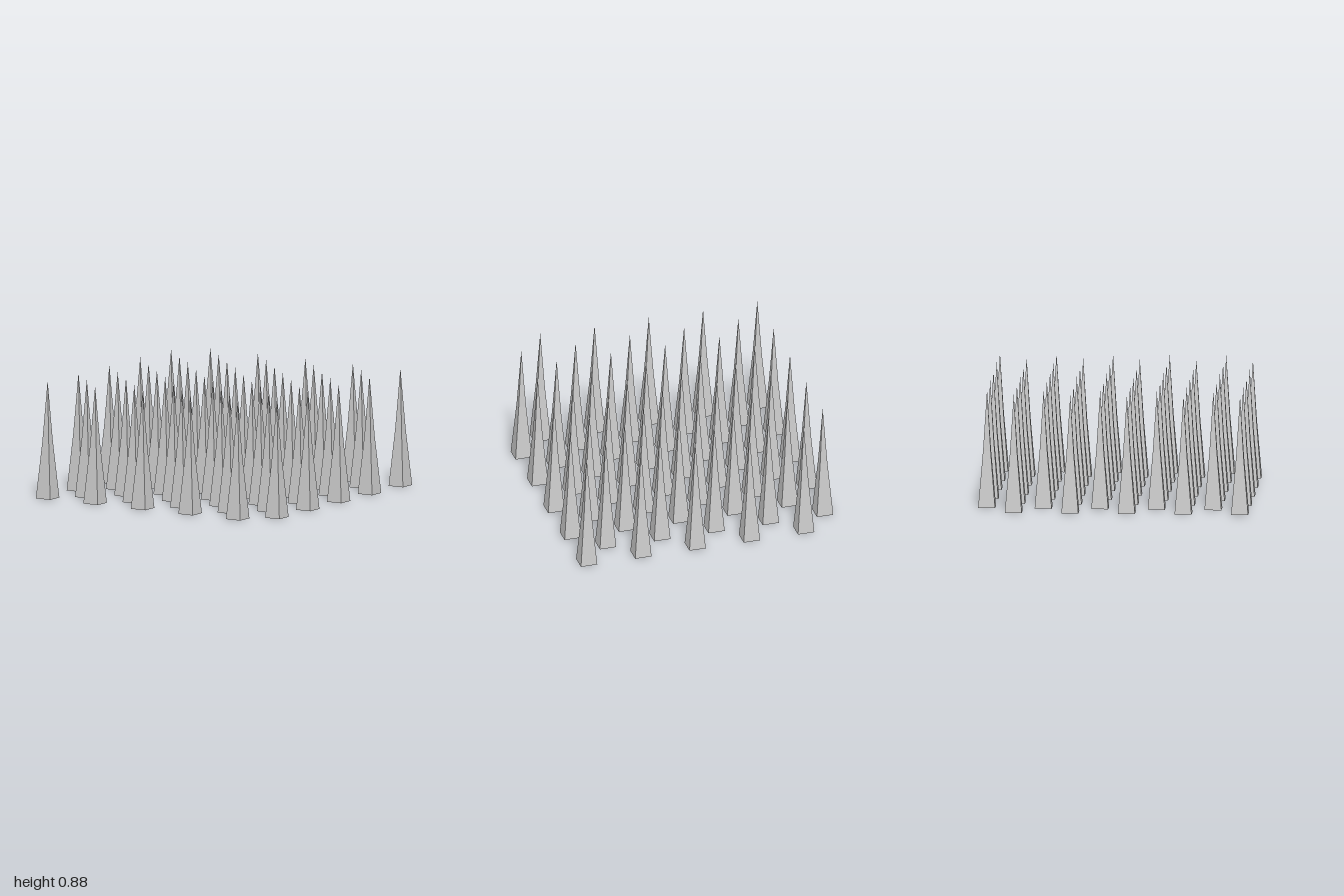
import * as THREE from 'three';

export function createModel() {
  const group = new THREE.Group();
  group.name = 'spikeField';
  const material = new THREE.MeshStandardMaterial({
    color: 0xcccccc, flatShading: true, side: THREE.DoubleSide,
  });

  // Square spike, open underneath, bending slightly inward halfway up
  const profile = [[0.0625, 0], [0.028, 0.42], [0, 0.875]]
    .map(([half, y]) => new THREE.Vector2(half * Math.SQRT2, y));
  const spikeGeometry = new THREE.LatheGeometry(profile, 4, Math.PI / 4);

  // Checkerboard arrangement on a 10 x 10 grid
  const count = 10, first = -0.9375, step = 1.875 / (count - 1);
  for (let row = 0; row < count; row++) {
    for (let col = (row + 1) % 2; col < count; col += 2) {
      const spike = new THREE.Mesh(spikeGeometry, material);
      spike.name = `spike_${row}_${col}`;
      spike.position.set(first + col * step, 0, first + row * step);
      group.add(spike);
    }
  }
  return group;
}
